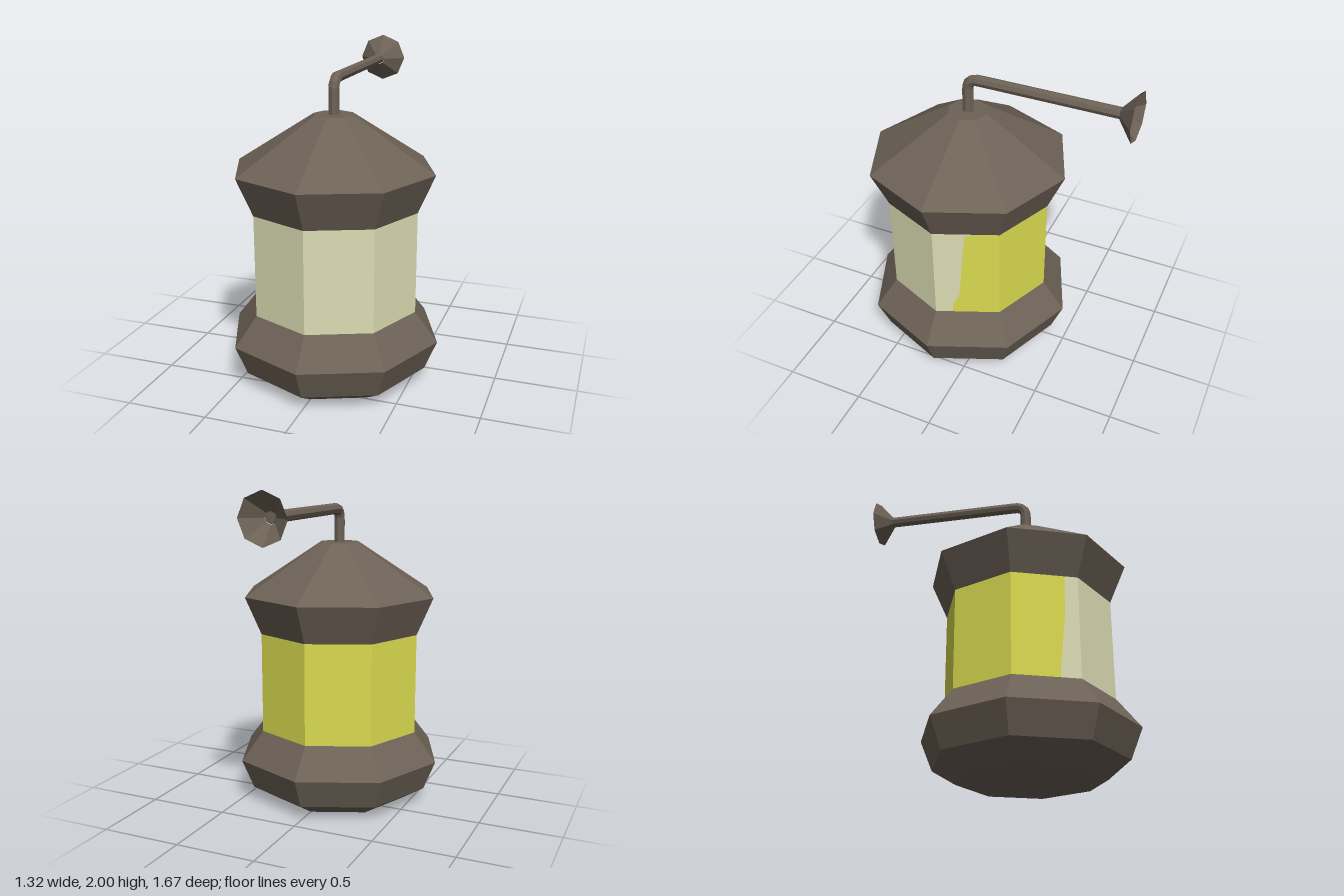
import * as THREE from 'three';

const CZ = 0.175; // lantern axis
const SIDES = 8;

// Split shared vertices so every facet gets its own normal
function flat(geometry) {
  const g = geometry.index ? geometry.toNonIndexed() : geometry;
  g.computeVertexNormals();
  return g;
}

export function createModel() {
  const group = new THREE.Group();
  const metal = new THREE.MeshStandardMaterial({ color: 0x6d6256 });
  const openMetal = metal.clone();
  openMetal.side = THREE.DoubleSide;
  const paleGlass = new THREE.MeshStandardMaterial({ color: 0xdedeb5 });
  const yellowGlass = new THREE.MeshStandardMaterial({ color: 0xdbdb50 });
  metal.name = 'bronze';
  openMetal.name = 'bronze';
  paleGlass.name = 'pale glass';
  yellowGlass.name = 'yellow glass';

  function add(name, geometry, material) {
    const mesh = new THREE.Mesh(flat(geometry), material);
    mesh.name = name;
    group.add(mesh);
    return mesh;
  }

  // Octagonal base and roof, turned from [radius, height] profiles
  function turned(name, profile) {
    const g = new THREE.LatheGeometry(profile.map(([r, y]) => new THREE.Vector2(r, y)), SIDES);
    add(name, g.translate(0, 0, CZ), metal);
  }
  turned('base', [[0, 0], [0.44, 0], [0.587, 0.09], [0.662, 0.275], [0.52, 0.457]]);
  turned('roof', [[0.52, 1.087], [0.622, 1.323], [0.125, 1.643], [0, 1.643]]);

  // Glass ring: position u counts corners, starting at +z and turning towards +x
  const corner = (i) => {
    const a = (i / SIDES) * Math.PI * 2;
    return new THREE.Vector2(Math.sin(a), Math.cos(a)).multiplyScalar(0.52);
  };
  const glassPoint = (u, y) => {
    const i = Math.floor(u);
    const p = corner(i).lerp(corner(i + 1), u - i);
    return [p.x, y, p.y + CZ];
  };
  // Each row: height, and the two places where pale glass meets yellow
  const rows = [
    [0.455, 2.26, 6.7],
    [0.53, 2.28, 6.71],
    [0.6, 2.38, 6.73],
    [0.85, 2.43, 6.79],
    [1.068, 2.48, 6.8],
    [1.09, 2.66, 6.81],
  ];
  function glass(name, material, stops) {
    const pos = [];
    for (let k = 0; k < rows.length - 1; k++) {
      const [y0] = rows[k], [y1] = rows[k + 1];
      const lo = stops(rows[k]), hi = stops(rows[k + 1]);
      for (let i = 0; i < lo.length - 1; i++) {
        const a = glassPoint(lo[i], y0), b = glassPoint(lo[i + 1], y0);
        const c = glassPoint(hi[i + 1], y1), d = glassPoint(hi[i], y1);
        pos.push(...a, ...b, ...c, ...a, ...c, ...d);
      }
    }
    const g = new THREE.BufferGeometry();
    g.setAttribute('position', new THREE.Float32BufferAttribute(pos, 3));
    add(name, g, material);
  }
  glass('backGlass', yellowGlass, ([, a, b]) => [a, 3, 4, 5, 6, b]);
  glass('frontGlass', paleGlass, ([, a, b]) => [b, 7, 8, 9, 10, a + 8]);

  // Bent pipe from the roof back to the wall
  const v = (y, z) => new THREE.Vector3(0, y, z);
  const path = new THREE.CurvePath();
  path.add(new THREE.LineCurve3(v(1.63, CZ), v(1.78, CZ)));
  path.add(new THREE.QuadraticBezierCurve3(v(1.78, CZ), v(1.852, CZ), v(1.852, CZ - 0.072)));
  path.add(new THREE.LineCurve3(v(1.852, CZ - 0.072), v(1.852, -0.745)));
  add('pipe', new THREE.TubeGeometry(path, 40, 0.034, 8), metal);

  const pipeEnd = add('pipeEnd', new THREE.CircleGeometry(0.034, 8), metal);
  pipeEnd.position.set(0, 1.852, -0.745);
  pipeEnd.rotation.y = Math.PI;

  // Open flared wall mount
  const flare = new THREE.CylinderGeometry(0.15, 0.036, 0.095, SIDES, 1, true);
  const mount = add('wallMount', flare.rotateX(-Math.PI / 2), openMetal);
  mount.position.set(0, 1.85, -0.79);

  return group;
}
